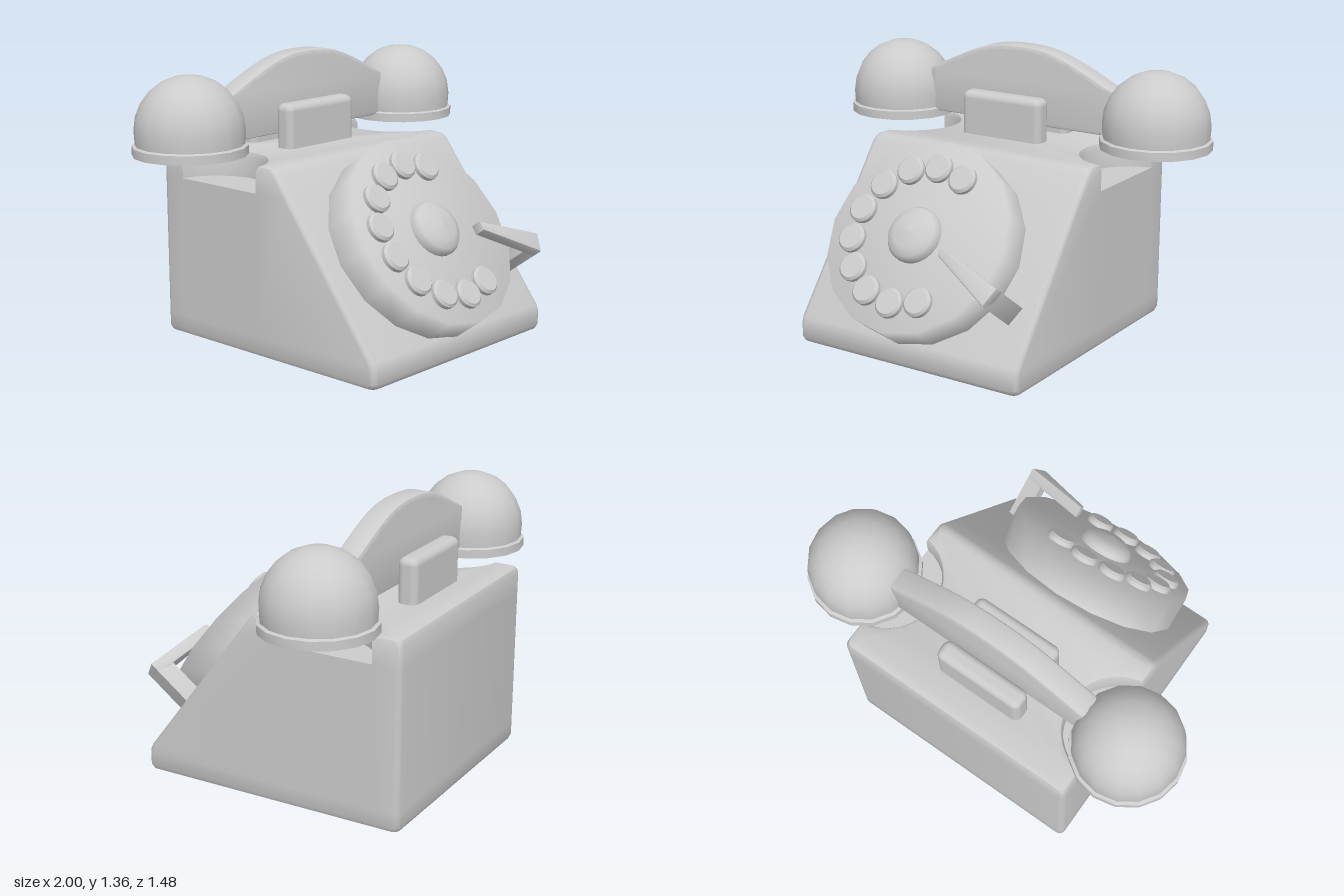
import * as THREE from 'three';
import { toCreasedNormals } from 'three/addons/utils/BufferGeometryUtils.js';
import { RoundedBoxGeometry } from 'three/addons/geometries/RoundedBoxGeometry.js';

const material = new THREE.MeshStandardMaterial({ color: 0xcccccc });
const V2 = (p) => new THREE.Vector2(p[0], p[1]);

function add(parent, name, geometry, x = 0, y = 0, z = 0) {
  const mesh = new THREE.Mesh(geometry, material);
  mesh.name = name;
  mesh.position.set(x, y, z);
  parent.add(mesh);
  return mesh;
}

const lathe = (points, sides) => new THREE.LatheGeometry(points.map(V2), sides);

// Polygon extruded along z from z0 to z1 with a small bevel kept inside the outline
function prism(points, z0, z1, bevel) {
  const geometry = new THREE.ExtrudeGeometry(new THREE.Shape(points.map(V2)), {
    depth: z1 - z0 - 2 * bevel, bevelThickness: bevel, bevelSize: bevel,
    bevelOffset: -bevel, bevelSegments: 2, curveSegments: 12,
  });
  geometry.translate(0, 0, z0 + bevel);
  return toCreasedNormals(geometry, 0.6);
}

// Plan outline of the body as (x, -z): rounded corners, optional scoops in both sides
function bodyOutline(front, inset, scooped) {
  const hx = 0.615 - inset, back = 0.735 - inset, r = 0.03;
  const half = [];
  const corner = (cx, cw, start) => {
    for (let i = 0; i <= 3; i++) {
      const a = start + (i / 3) * Math.PI / 2;
      half.push([cx + r * Math.cos(a), cw + r * Math.sin(a)]);
    }
  };
  corner(hx - r, -front + r, -Math.PI / 2);
  const cx = 0.65, cw = 0.35, radius = 0.25 + inset;
  const start = Math.acos((hx - cx) / radius);
  for (let i = 0; i <= 16; i++) {
    const a = -start - (i / 16) * (2 * Math.PI - 2 * start);
    half.push([scooped ? cx + radius * Math.cos(a) : hx, cw + radius * Math.sin(a)]);
  }
  corner(hx - r, back - r, 0);
  return [...half, ...half.map(([x, w]) => [-x, w]).reverse()];
}

// Body lofted through horizontal sections: height, front z, inset, scooped
function bodyGeometry() {
  const levels = [
    [0, 0.585, 0.03, false], [0.009, 0.602, 0.009, false], [0.03, 0.612, 0, false],
    [0.1, 0.612, 0, false], [0.13, 0.6, 0, false], [0.78, 0.104, 0, false],
    [0.78, 0.104, 0, true], [0.88, 0.028, 0, true], [0.903, 0.005, 0.009, true],
    [0.912, -0.02, 0.03, true],
  ];
  const loops = levels.map(([, front, inset, scooped]) => bodyOutline(front, inset, scooped));
  const n = loops[0].length, position = [], index = [];
  loops.forEach((loop, l) => loop.forEach(([x, w]) => position.push(x, levels[l][0], -w)));
  for (let l = 0; l < loops.length - 1; l++) {
    for (let i = 0; i < n; i++) {
      const a = l * n + i, b = l * n + (i + 1) % n;
      index.push(a, b, b + n, a, b + n, a + n);
    }
  }
  const cap = (l, flip) => {
    for (const [a, b, c] of THREE.ShapeUtils.triangulateShape(loops[l].map(V2), [])) {
      index.push(l * n + a, l * n + (flip ? c : b), l * n + (flip ? b : c));
    }
  };
  cap(0, true);
  cap(loops.length - 1, false);
  const geometry = new THREE.BufferGeometry();
  geometry.setAttribute('position', new THREE.Float32BufferAttribute(position, 3));
  geometry.setIndex(index);
  return toCreasedNormals(geometry, 0.7);
}

function createDial() {
  const dial = new THREE.Group();
  dial.name = 'dial';
  dial.position.set(-0.033, 0.5975, 0.46);
  dial.rotation.x = -0.632;

  // Thick disc standing on the sloped front
  const disc = lathe([[0.474, -0.175], [0.474, 0], [0, 0]], 16).rotateX(Math.PI / 2);
  add(dial, 'dialDisc', disc);

  // Domed hub
  const hub = lathe([[0.135, -0.01], [0.135, 0.02], [0.12, 0.045], [0.08, 0.063], [0, 0.072]], 24);
  add(dial, 'dialHub', hub.rotateX(Math.PI / 2));

  // Ten number buttons, fourteen to the full circle
  const button = toCreasedNormals(
    lathe([[0.07, -0.01], [0.07, 0.02], [0.058, 0.032], [0, 0.032]], 20).rotateX(Math.PI / 2), 0.6);
  for (let i = -1; i <= 8; i++) {
    const a = (i / 14) * Math.PI * 2;
    add(dial, 'dialButton', button, -0.335 * Math.sin(a), 0.335 * Math.cos(a), 0);
  }

  // Finger stop: tapered arm over the disc and a post down to the body
  const arm = [[0.213, -0.045], [0.213, -0.09], [0.523, -0.27], [0.563, -0.18]];
  const post = [[0.473, -0.15], [0.468, -0.235], [0.523, -0.27], [0.563, -0.18]];
  add(dial, 'fingerStopArm', prism(arm, 0.035, 0.095, 0.008));
  add(dial, 'fingerStopPost', prism(post, -0.18, 0.095, 0.008));
  return dial;
}

function createHandset() {
  const handset = new THREE.Group();
  handset.name = 'handset';
  handset.position.z = -0.405;

  // Arched grip
  const grip = new THREE.Shape();
  grip.moveTo(-0.525, 0.97);
  grip.lineTo(0.525, 0.97);
  grip.lineTo(0.525, 1.19);
  grip.splineThru([[0.3, 1.295], [0.15, 1.343], [0, 1.355], [-0.15, 1.343], [-0.3, 1.295], [-0.525, 1.19]].map(V2));
  const outline = grip.getPoints(4).map((p) => [p.x, p.y]);
  add(handset, 'grip', prism(outline.slice(0, -1).concat([[-0.525, 1.19]]), -0.06, 0.06, 0.02));

  // Domed cups with a rim at the open end
  const cup = toCreasedNormals(lathe([
    [0, 0.94], [0.267, 0.94], [0.267, 0.982], [0.252, 0.988], [0.256, 1.05], [0.247, 1.116],
    [0.221, 1.178], [0.181, 1.231], [0.128, 1.272], [0.066, 1.297], [0, 1.306],
  ], 16), 0.7);
  for (const side of [-1, 1]) {
    add(handset, side > 0 ? 'leftCup' : 'rightCup', cup, side * 0.733, 0, 0);
  }
  return handset;
}

export function createModel() {
  const model = new THREE.Group();
  model.name = 'telephone';
  add(model, 'body', bodyGeometry());
  model.add(createDial(), createHandset());

  // Cradle plates on both sides of the grip
  const plate = new RoundedBoxGeometry(0.45, 0.26, 0.1, 3, 0.035);
  for (const z of [-0.533, -0.285]) add(model, 'cradlePlate', plate, -0.033, 0.995, z);
  return model;
}
